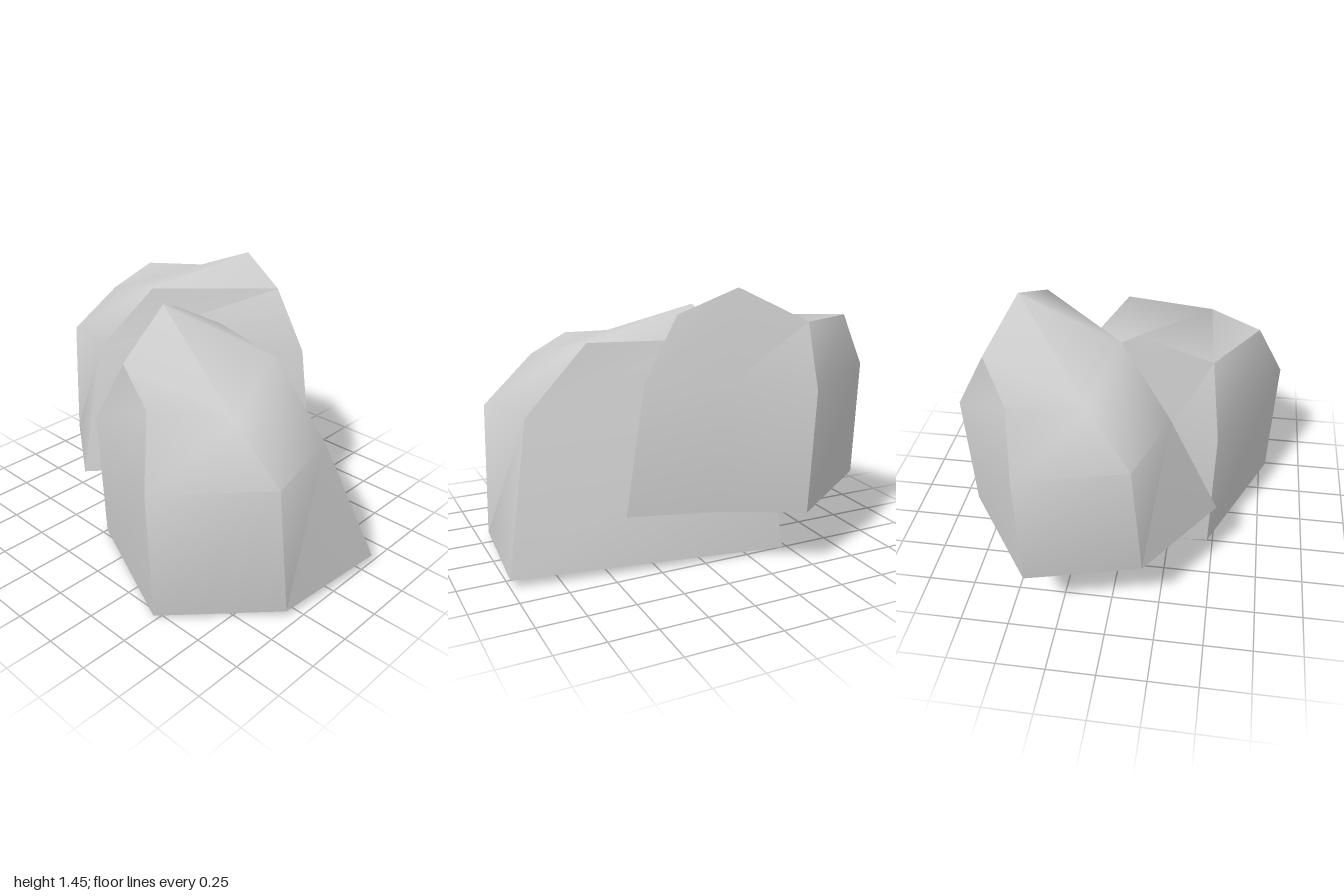
import * as THREE from 'three';
import { toCreasedNormals } from 'three/addons/utils/BufferGeometryUtils.js';

// Builds a hollow, open-bottomed boulder from three rings (bottom, waist, top),
// each listed anticlockwise from above; cap lists the corners of the top's triangles.
function makeRock(name, rings, cap) {
  const n = rings[0].length;
  const points = [];
  const tri = (a, b, c) => points.push(...a, ...b, ...c);

  // sides
  for (let r = 0; r < rings.length - 1; r++) {
    const lower = rings[r], upper = rings[r + 1];
    for (let i = 0; i < n; i++) {
      const j = (i + 1) % n;
      tri(lower[i], lower[j], upper[j]);
      tri(lower[i], upper[j], upper[i]);
    }
  }

  // top
  const top = rings[rings.length - 1];
  for (const [a, b, c] of cap) tri(top[a], top[b], top[c]);

  const geometry = new THREE.BufferGeometry();
  geometry.setAttribute('position', new THREE.Float32BufferAttribute(points, 3));
  const mesh = new THREE.Mesh(
    toCreasedNormals(geometry, 0.8),
    new THREE.MeshStandardMaterial({ color: 0xcccccc, side: THREE.DoubleSide })
  );
  mesh.name = name;
  return mesh;
}

export function createModel() {
  const group = new THREE.Group();
  group.name = 'rocks';

  // large boulder resting on the ground
  group.add(makeRock('frontRock', [
    [[-0.25, 0, 0.47], [0.48, 0.01, 0.79], [0.945, 0.03, 0.32], [1, 0.045, -0.34],
      [-0.45, 0.02, -0.54], [-0.31, 0.01, -0.08], [-0.27, 0.005, 0.22]],
    [[-0.265, 0.73, 0.49], [0.47, 0.73, 0.815], [0.915, 0.75, 0.38], [0.82, 0.78, -0.08],
      [-0.38, 0.78, -0.42], [-0.3, 0.77, -0.05], [-0.28, 0.75, 0.22]],
    [[-0.085, 1.09, 0.44], [0.34, 1.06, 0.67], [0.635, 1.01, 0.39], [0.48, 1.14, -0.08],
      [-0.04, 1.14, -0.22], [-0.22, 1.22, -0.08], [-0.19, 1.28, 0.055]],
  ], [[0, 1, 2], [0, 2, 6], [6, 2, 3], [6, 3, 4], [6, 4, 5]]));

  // raised boulder leaning against its back
  group.add(makeRock('backRock', [
    [[-0.985, 0.33, -0.4], [-0.85, 0.34, 0.17], [-0.37, 0.36, 0.51],
      [0.44, 0.335, -0.49], [-0.03, 0.33, -0.62], [-0.42, 0.32, -0.79]],
    [[-1, 0.96, -0.41], [-0.88, 0.97, 0.12], [-0.49, 1, 0.26],
      [0.34, 1, -0.49], [-0.03, 0.98, -0.63], [-0.43, 0.96, -0.82]],
    [[-0.84, 1.25, -0.45], [-0.75, 1.205, -0.09], [-0.33, 1.32, 0],
      [0.16, 1.32, -0.475], [-0.13, 1.445, -0.555], [-0.47, 1.27, -0.66]],
  ], [[5, 0, 1], [5, 1, 4], [4, 1, 2], [4, 2, 3]]));

  return group;
}
